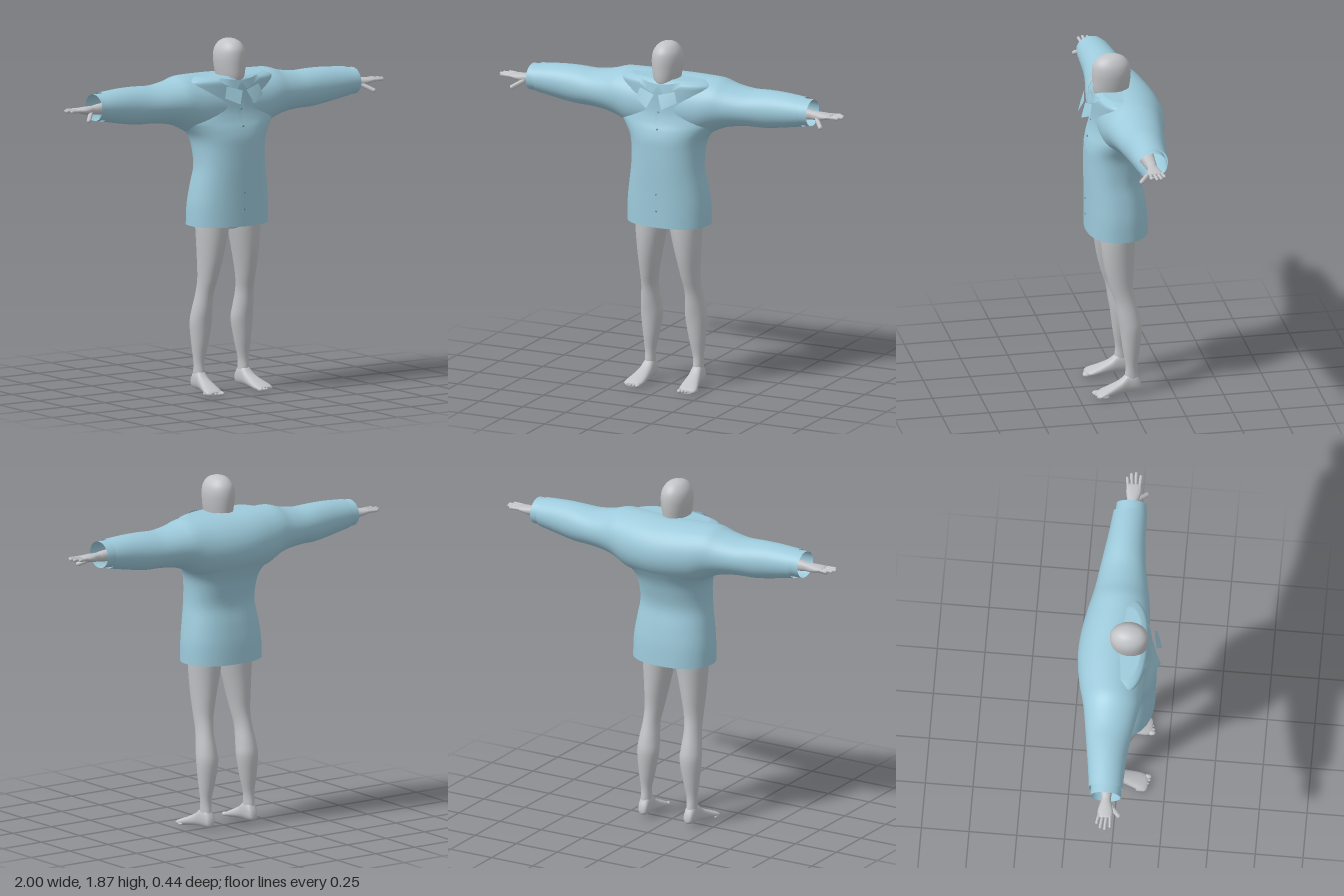
import * as THREE from 'three';

const shirtBlue = new THREE.MeshStandardMaterial({ color: 0x9dcadb, side: THREE.DoubleSide });
shirtBlue.name = 'shirt blue';
const skinGrey = new THREE.MeshStandardMaterial({ color: 0xc2c3c6 });
skinGrey.name = 'skin grey';
const buttonBlue = new THREE.MeshStandardMaterial({ color: 0x6f9fb0 });
buttonBlue.name = 'button blue';

const AXES = { x: [0, 1, 2], y: [1, 0, 2], z: [2, 0, 1] };

// Smooth interpolation between cross-section rows
function smoothRows(rows, steps) {
  const out = [];
  for (let i = 0; i < rows.length - 1; i++) {
    const a = rows[Math.max(i - 1, 0)], b = rows[i], c = rows[i + 1], d = rows[Math.min(i + 2, rows.length - 1)];
    for (let s = 0; s < steps; s++) {
      const t = s / steps, t2 = t * t, t3 = t2 * t;
      out.push(b.map((v, k) => 0.5 * (2 * v + (c[k] - a[k]) * t
        + (2 * a[k] - 5 * v + 4 * c[k] - d[k]) * t2 + (3 * v - a[k] - 3 * c[k] + d[k]) * t3)));
    }
  }
  out.push(rows[rows.length - 1]);
  return out;
}

// Loft rounded sections; each row is [position, min1, max1, min2, max2]
function loft(axis, rows, { power = 2, capStart = false, capEnd = false, segs = 40, steps = 4 } = {}) {
  const [m, u, v] = AXES[axis], pos = [], idx = [];
  const list = smoothRows(rows, steps), flip = axis !== 'y';
  const put = (t, a, b) => { const p = [0, 0, 0]; p[m] = t; p[u] = a; p[v] = b; pos.push(...p); };
  const tri = (a, b, c) => (flip ? idx.push(a, c, b) : idx.push(a, b, c));
  const bend = (n) => Math.sign(n) * Math.abs(n) ** (2 / power);
  for (const [t, a0, a1, b0, b1] of list) {
    for (let j = 0; j < segs; j++) {
      const q = (j / segs) * Math.PI * 2;
      put(t, (a0 + a1) / 2 + bend(Math.cos(q)) * (a1 - a0) / 2, (b0 + b1) / 2 + bend(Math.sin(q)) * (b1 - b0) / 2);
    }
  }
  for (let i = 0; i < list.length - 1; i++) {
    for (let j = 0; j < segs; j++) {
      const a = i * segs + j, b = i * segs + (j + 1) % segs;
      tri(a, a + segs, b);
      tri(b, a + segs, b + segs);
    }
  }
  const cap = (row, base, end) => {
    const c = pos.length / 3;
    put(row[0], (row[1] + row[2]) / 2, (row[3] + row[4]) / 2);
    for (let j = 0; j < segs; j++) {
      const a = base + j, b = base + (j + 1) % segs;
      end ? tri(a, c, b) : tri(a, b, c);
    }
  };
  if (capStart) cap(list[0], 0, false);
  if (capEnd) cap(list[list.length - 1], (list.length - 1) * segs, true);
  return build(pos, idx);
}

function build(pos, idx) {
  const g = new THREE.BufferGeometry();
  g.setAttribute('position', new THREE.Float32BufferAttribute(pos, 3));
  g.setIndex(idx);
  g.computeVertexNormals();
  return g;
}

// Thin cloth strip between two edges
function strip(upper, lower) {
  const pos = [], idx = [];
  upper.forEach((p, i) => {
    pos.push(...p, ...lower[i]);
    if (i) idx.push(2 * i - 2, 2 * i - 1, 2 * i, 2 * i, 2 * i - 1, 2 * i + 1);
  });
  return build(pos, idx);
}

function mirrored(geo) {
  const g = geo.clone().scale(-1, 1, 1), a = g.index.array;
  for (let i = 0; i < a.length; i += 3) [a[i], a[i + 1]] = [a[i + 1], a[i]];
  g.computeVertexNormals();
  return g;
}

export function createModel() {
  const model = new THREE.Group();
  const add = (name, geo, mat) => {
    const mesh = new THREE.Mesh(geo, mat);
    mesh.name = name;
    model.add(mesh);
    return mesh;
  };
  const addPair = (name, geo, mat) => {
    add(name + 'Left', geo, mat);
    add(name + 'Right', mirrored(geo), mat);
  };

  // Head and neck
  add('head', loft('y', [
    [1.56, -0.055, 0.055, -0.04, 0.1], [1.64, -0.06, 0.06, -0.04, 0.135], [1.68, -0.068, 0.068, -0.045, 0.146],
    [1.73, -0.076, 0.076, -0.052, 0.149], [1.78, -0.079, 0.079, -0.054, 0.149], [1.82, -0.071, 0.071, -0.045, 0.142],
    [1.85, -0.051, 0.051, -0.02, 0.118], [1.865, -0.028, 0.028, 0.012, 0.083], [1.87, -0.002, 0.002, 0.046, 0.05],
  ], { capEnd: true }), skinGrey);

  // Hips under the shirt
  add('hips', loft('y', [
    [0.865, -0.05, 0.05, -0.02, 0.08], [0.89, -0.13, 0.13, -0.05, 0.115], [0.95, -0.18, 0.18, -0.07, 0.13],
    [1.1, -0.15, 0.15, -0.05, 0.13], [1.3, -0.15, 0.15, -0.05, 0.13],
  ], { capStart: true, capEnd: true }), skinGrey);

  // Legs and feet
  addPair('leg', loft('y', [
    [0.06, 0.112, 0.168, -0.07, 0.0], [0.1, 0.112, 0.167, -0.067, 0.004], [0.16, 0.11, 0.168, -0.062, 0.0],
    [0.25, 0.09, 0.178, -0.076, 0.014], [0.36, 0.071, 0.187, -0.088, 0.028], [0.43, 0.075, 0.182, -0.078, 0.04],
    [0.52, 0.081, 0.17, -0.055, 0.055], [0.6, 0.07, 0.168, -0.043, 0.08], [0.7, 0.05, 0.174, -0.048, 0.105],
    [0.8, 0.028, 0.181, -0.054, 0.12], [0.89, 0.01, 0.186, -0.06, 0.126], [0.96, 0.01, 0.18, -0.06, 0.126],
  ], { segs: 32 }), skinGrey);
  addPair('foot', loft('z', [
    [-0.084, 0.128, 0.148, 0.03, 0.05], [-0.075, 0.114, 0.162, 0.019, 0.08], [-0.05, 0.109, 0.169, 0.014, 0.115],
    [-0.01, 0.108, 0.172, 0.014, 0.115], [0.03, 0.107, 0.18, 0.012, 0.083], [0.08, 0.104, 0.194, 0.006, 0.058],
    [0.12, 0.105, 0.206, 0.001, 0.041], [0.145, 0.112, 0.206, 0, 0.03], [0.158, 0.122, 0.19, 0.002, 0.022],
  ], { power: 2.3, capStart: true, capEnd: true, segs: 28 }), skinGrey);
  for (let i = 0; i < 5; i++) {
    const toe = new THREE.SphereGeometry(1, 12, 8).scale(i ? 0.009 : 0.014, i ? 0.009 : 0.012, 0.022)
      .translate(0.122 + i * 0.019, 0.013, 0.154 - i * i * 0.0022);
    addPair('toe' + (i + 1), toe, skinGrey);
  }

  // Forearms and palms
  addPair('hand', loft('x', [
    [0.6, 1.51, 1.6, -0.05, 0.04], [0.78, 1.526, 1.584, -0.035, 0.024], [0.825, 1.531, 1.577, -0.03, 0.02],
    [0.86, 1.532, 1.576, -0.038, 0.03], [0.89, 1.539, 1.574, -0.043, 0.036], [0.92, 1.548, 1.571, -0.042, 0.034],
    [0.93, 1.554, 1.568, -0.036, 0.028],
  ], { power: 2.3, capEnd: true, segs: 24 }), skinGrey);

  // Fingers and thumbs as tapered rods with round tips
  const digit = (name, from, to, r) => {
    const a = new THREE.Vector3(...from), b = new THREE.Vector3(...to), d = b.clone().sub(a);
    const g = new THREE.CapsuleGeometry(r, d.length() - r, 4, 10);
    g.applyQuaternion(new THREE.Quaternion().setFromUnitVectors(new THREE.Vector3(0, 1, 0), d.normalize()));
    const c = a.add(b).multiplyScalar(0.5);
    addPair(name, g.translate(c.x, c.y, c.z), skinGrey);
  };
  [[0.965, -0.043], [0.988, -0.022], [0.995, 0.002], [0.98, 0.028]].forEach(([tip, z], i) =>
    digit('finger' + (i + 1), [0.905, 1.56, -0.033 + i * 0.019], [tip, 1.561, z], 0.0085));
  digit('thumb', [0.85, 1.543, 0.015], [0.9, 1.511, 0.07], 0.012);

  // Shirt body, open at the hem
  add('shirtBody', loft('y', [
    [0.89, -0.226, 0.226, -0.138, 0.186], [1.0, -0.224, 0.224, -0.132, 0.187], [1.1, -0.211, 0.211, -0.117, 0.188],
    [1.2, -0.196, 0.196, -0.1, 0.19], [1.3, -0.198, 0.198, -0.122, 0.19], [1.36, -0.213, 0.213, -0.145, 0.188],
    [1.41, -0.25, 0.25, -0.175, 0.176], [1.45, -0.285, 0.285, -0.2, 0.16], [1.5, -0.28, 0.28, -0.21, 0.148],
    [1.56, -0.27, 0.27, -0.185, 0.145], [1.62, -0.27, 0.27, -0.135, 0.145], [1.66, -0.26, 0.26, -0.085, 0.14],
    [1.68, -0.2, 0.2, -0.055, 0.11],
  ], { power: 2.3, capEnd: true, segs: 56 }), shirtBlue);

  // Shoulders and sleeves in one sweep
  const arm = [
    [0.1, 1.36, 1.685, -0.213, 0.142], [0.2, 1.375, 1.686, -0.195, 0.14], [0.28, 1.413, 1.683, -0.175, 0.131],
    [0.35, 1.436, 1.662, -0.16, 0.118], [0.45, 1.449, 1.647, -0.145, 0.1], [0.55, 1.451, 1.651, -0.13, 0.086],
    [0.65, 1.466, 1.65, -0.115, 0.08], [0.77, 1.488, 1.641, -0.1, 0.076],
  ];
  const otherArm = arm.map(([x, ...rest]) => [-x, ...rest]).reverse();
  add('shouldersAndSleeves', loft('x', [...otherArm, [0, 1.355, 1.683, -0.22, 0.142], ...arm], { segs: 48 }), shirtBlue);
  addPair('cuff', loft('x', [
    [0.75, 1.493, 1.636, -0.09, 0.072], [0.815, 1.495, 1.635, -0.087, 0.071],
  ], { segs: 40, steps: 1 }), shirtBlue);

  // Collar fold, standing collar points and placket
  addPair('collarFold', strip(
    [[0.0, 1.66, 0.16], [0.06, 1.668, 0.157], [0.085, 1.672, 0.147], [0.115, 1.676, 0.13]],
    [[0.03, 1.615, 0.167], [0.07, 1.63, 0.16], [0.1, 1.645, 0.152], [0.125, 1.665, 0.14]],
  ), shirtBlue);
  addPair('collarPoint', strip(
    [[0.012, 1.612, 0.19], [0.1, 1.637, 0.172]],
    [[0.043, 1.542, 0.217], [0.12, 1.578, 0.185]],
  ), shirtBlue);
  const placketLine = [[1.62, 0.158], [1.56, 0.156], [1.5, 0.158], [1.46, 0.168], [1.435, 0.178]];
  add('placket', strip(
    placketLine.map(([y, z]) => [-0.018, y, z]),
    placketLine.map(([y, z]) => [0.018, y, z]),
  ), shirtBlue);

  // Small front buttons
  [[1.51, 0.158], [1.42, 0.177], [1.07, 0.188], [0.98, 0.187]].forEach(([y, z], i) =>
    add('button' + (i + 1), new THREE.CylinderGeometry(0.005, 0.005, 0.006, 12).rotateX(Math.PI / 2).translate(0, y, z), buttonBlue));

  return model;
}
